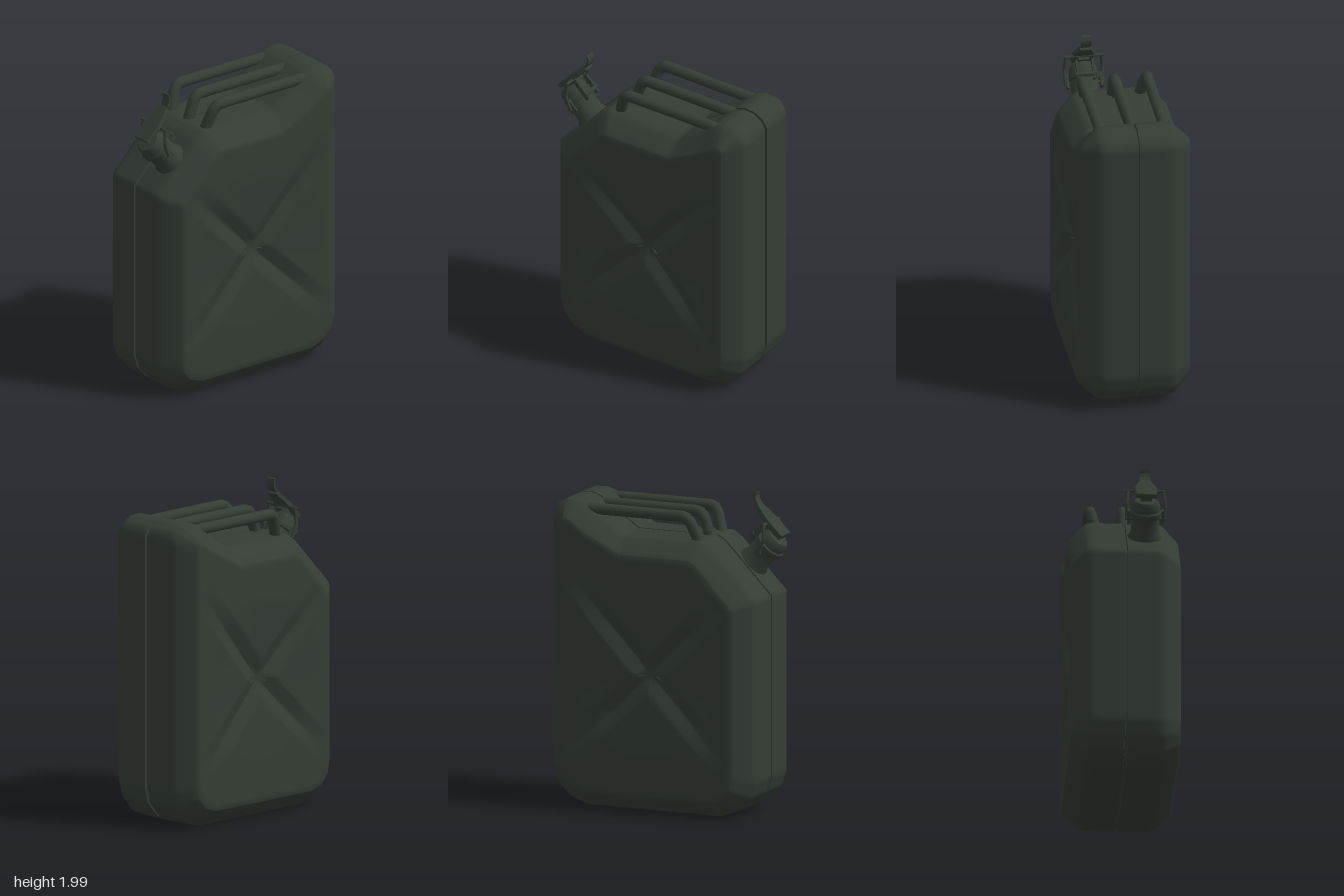
import * as THREE from 'three';
import { toCreasedNormals } from 'three/addons/utils/BufferGeometryUtils.js';

const V = (x, y, z) => new THREE.Vector3(x, y, z);

// Side outline as [z, y, zInset, yInset]: full outline at the seam, inset one at the side panels
const OUTLINE = [
  [0.66, 1.38, 0.54, 1.33], [0.36, 1.69, 0.30, 1.59], [0.30, 1.73, 0.25, 1.62],
  [-0.24, 1.73, -0.22, 1.62], [-0.42, 1.85, -0.46, 1.74], [-0.50, 1.91, -0.55, 1.80],
  [-0.56, 1.93, -0.58, 1.82], [-0.63, 1.925, -0.60, 1.82], [-0.69, 1.89, -0.61, 1.80],
  [-0.72, 1.84, -0.61, 1.77], [-0.72, 0.25, -0.61, 0.28], [-0.69, 0.15, -0.59, 0.21],
  [-0.61, 0.06, -0.54, 0.15], [-0.48, 0.01, -0.45, 0.12], [0.42, 0.01, 0.39, 0.12],
  [0.55, 0.06, 0.48, 0.15], [0.63, 0.15, 0.53, 0.21], [0.66, 0.24, 0.54, 0.28],
];
const CENTRE = [-0.03, 0.88];
const CORNERS = [[0.46, 1.37], [-0.53, 1.45], [0.48, 0.38], [-0.54, 0.38]];

function denseOutline() {
  const out = [];
  OUTLINE.forEach((a, i) => {
    const b = OUTLINE[(i + 1) % OUTLINE.length];
    const n = Math.ceil(Math.hypot(b[0] - a[0], b[1] - a[1]) / 0.03);
    for (let k = 0; k < n; k++) out.push(a.map((v, j) => v + (b[j] - v) * k / n));
  });
  return out;
}

// Depth of the pressed cross in the side panels
function crossDepth(z, y, t) {
  const dz = z - CENTRE[0], dy = y - CENTRE[1];
  const r = Math.hypot(dz, dy);
  let groove = 0;
  for (const [cz, cy] of CORNERS) {
    const ez = cz - CENTRE[0], ey = cy - CENTRE[1], len = Math.hypot(ez, ey);
    const along = (dz * ez + dy * ey) / len;
    const across = Math.abs(dz * ey - dy * ez) / len;
    if (along < 0) continue;
    const fade = Math.max(0, Math.min(1, (len * 1.05 - along) / 0.4));
    groove = Math.max(groove, Math.max(0, 1 - across / 0.085) * fade);
  }
  if (r < 0.06) groove = 1;
  return t >= 1 ? 0 : 0.035 * groove + 0.03 * Math.max(0, 1 - r / 0.5);
}

function bodyGeometry() {
  const outline = denseOutline(), n = outline.length;
  // Half of the cross-sections, from the panel centre out to the seam groove
  const half = [];
  for (let k = 0; k <= 20; k++) half.push({ x: 0.34, blend: 1, t: Math.max(0.001, k / 20) });
  for (const [x, blend] of [[0.335, 0.93], [0.32, 0.79], [0.25, 0.18], [0.23, 0.06], [0.20, 0.01],
    [0.17, 0], [0.009, 0], [0.006, 0.16]]) half.push({ x, blend, t: 1 });
  const rows = [
    ...half.map(h => ({ ...h, side: -1 })),
    ...half.slice().reverse().map(h => ({ ...h, side: 1 })),
  ];
  const pos = [], index = [];
  rows.forEach(({ x, blend, t, side }, r) => {
    outline.forEach(([z0, y0, z1, y1], i) => {
      let z = z0 + (z1 - z0) * blend, y = y0 + (y1 - y0) * blend;
      z = CENTRE[0] + (z - CENTRE[0]) * t;
      y = CENTRE[1] + (y - CENTRE[1]) * t;
      const depth = blend === 1 ? crossDepth(z, y, t) : 0;
      pos.push(side * (x - depth), y, z);
      if (r === rows.length - 1) return;
      const a = r * n + i, b = a + n, j = (i + 1) % n;
      const c = (r + 1) * n + j, d = r * n + j;
      index.push(a, b, d, b, c, d);
    });
  });
  const g = new THREE.BufferGeometry();
  g.setAttribute('position', new THREE.Float32BufferAttribute(pos, 3));
  g.setIndex(index);
  return toCreasedNormals(g, 0.9);
}

export function createModel() {
  const model = new THREE.Group();
  const green = new THREE.MeshStandardMaterial({ color: 0x343d34 });
  green.name = 'darkGreenPaint';

  const add = (parent, name, geo, x = 0, y = 0, z = 0, rx = 0, rz = 0) => {
    const m = new THREE.Mesh(geo, green);
    m.name = name;
    m.position.set(x, y, z);
    m.rotation.set(rx, 0, rz);
    parent.add(m);
    return m;
  };
  const tube = (points, radius, segments = 40) => new THREE.TubeGeometry(
    new THREE.CatmullRomCurve3(points, false, 'catmullrom', 0.25), segments, radius, 14);

  add(model, 'body', bodyGeometry());

  // Three parallel carrying bars, the outer two with legs leaning inward
  for (const s of [-1, 0, 1]) {
    add(model, s ? 'outerHandle' : 'centreHandle', tube([
      V(s * 0.20, 1.86, -0.54), V(s * 0.20, 1.87, -0.44), V(s * 0.203, 1.871, 0.12),
      V(s * 0.203, 1.865, 0.175), V(s * 0.195, 1.83, 0.205), V(s * 0.165, 1.70, 0.25),
    ], 0.035));
  }

  // Spout on the sloping shoulder; its own y axis points out of the neck
  const spout = new THREE.Group();
  spout.name = 'spout';
  spout.position.set(0.12, 1.56, 0.485);
  spout.rotation.x = Math.PI / 4;
  model.add(spout);

  const profile = (pts) => new THREE.LatheGeometry(pts.map(p => new THREE.Vector2(...p)), 32);
  add(spout, 'neck', toCreasedNormals(profile(
    [[0.115, -0.06], [0.105, 0.0], [0.088, 0.03], [0.085, 0.14], [0.0, 0.14]]), 0.6));
  add(spout, 'cap', toCreasedNormals(profile(
    [[0, 0.13], [0.09, 0.13], [0.098, 0.14], [0.098, 0.165], [0.088, 0.175],
      [0.085, 0.215], [0.07, 0.235], [0, 0.24]]), 0.6));

  // Hinge lugs, clamp arms and pins on both sides of the cap
  for (const s of [-1, 1]) {
    add(spout, 'hingeLug', new THREE.BoxGeometry(0.014, 0.09, 0.05), s * 0.105, 0.13, 0.0);
    add(spout, 'clampArm', tube(
      [V(s * 0.115, 0.11, 0.01), V(s * 0.118, 0.2, -0.03), V(s * 0.11, 0.26, -0.10)], 0.011, 12));
    add(spout, 'rearLug', new THREE.BoxGeometry(0.014, 0.13, 0.03), s * 0.05, 0.17, -0.105);
  }
  const pin = new THREE.CylinderGeometry(0.01, 0.01, 0.25, 12);
  add(spout, 'hingePin', pin, 0, 0.12, 0.01, 0, Math.PI / 2);
  add(spout, 'clampPin', pin, 0, 0.26, -0.10, 0, Math.PI / 2);
  add(spout, 'rearPin', new THREE.CylinderGeometry(0.014, 0.014, 0.13, 12), 0, 0.14, -0.115, 0, Math.PI / 2);

  // Locking lever: a plate in plan, with a narrow curled thumb tab
  const plan = new THREE.Shape([[-0.06, -0.02], [0.06, -0.02], [0.065, 0.09], [0.05, 0.16],
    [0.032, 0.22], [-0.032, 0.22], [-0.05, 0.16], [-0.065, 0.09]].map(p => new THREE.Vector2(...p)));
  const plate = new THREE.ExtrudeGeometry(plan, { depth: 0.022, bevelSize: 0.004, bevelThickness: 0.004, bevelSegments: 1 });
  add(spout, 'leverPlate', plate, 0, 0.262, 0, -Math.PI / 2);
  add(spout, 'leverRib', new THREE.BoxGeometry(0.07, 0.03, 0.12), 0, 0.25, -0.04);

  const side = [[0.20, 0.275], [0.235, 0.275], [0.265, 0.285], [0.285, 0.30], [0.298, 0.322]];
  const tab = new THREE.Shape([...side, ...side.slice().reverse().map(([a, b]) => [a - 0.006, b + 0.012])]
    .map(([a, b]) => new THREE.Vector2(a, b)));
  const tabGeo = new THREE.ExtrudeGeometry(tab, { depth: 0.064, bevelEnabled: false });
  tabGeo.translate(0, 0, -0.032).rotateY(Math.PI / 2);
  add(spout, 'thumbTab', tabGeo);

  return model;
}
